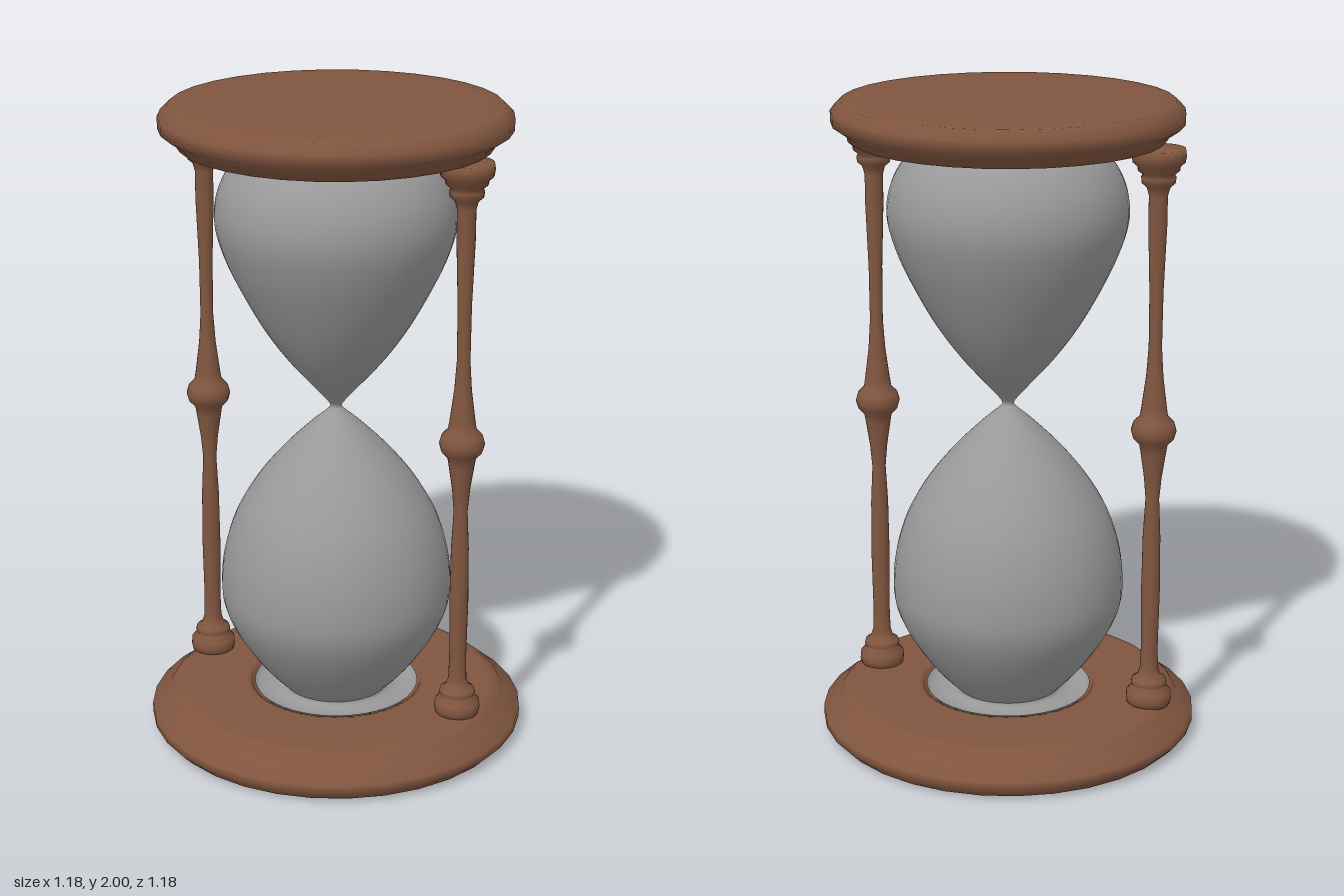
import * as THREE from 'three';

const wood = new THREE.MeshStandardMaterial({ color: 0x80553f });
wood.name = 'brown wood';
const glass = new THREE.MeshStandardMaterial({ color: 0x999999, side: THREE.DoubleSide });
glass.name = 'grey glass';

// Smooth turned part from [radius, height] pairs, listed bottom to top
function turned(name, profile, segments, material) {
  const points = profile.map(([r, y]) => new THREE.Vector2(r, y));
  const mesh = new THREE.Mesh(new THREE.LatheGeometry(points, segments), material);
  mesh.name = name;
  return mesh;
}

// Rounds a coarse profile with a spline
function rounded(profile, count) {
  const curve = new THREE.SplineCurve(profile.map(([r, y]) => new THREE.Vector2(r, y)));
  return curve.getPoints(count).map((p) => [p.x, p.y]);
}

export function createModel() {
  const model = new THREE.Group();
  model.name = 'hourglass';

  // Base plate with a shallow seat for the glass
  model.add(turned('basePlate', [
    [0, 0], [0.5, 0], [0.562, 0.005], [0.588, 0.032], [0.588, 0.06], [0.54, 0.092],
    [0.53, 0.108], [0.505, 0.128], [0.48, 0.13], [0.285, 0.13], [0.27, 0.128],
    [0.262, 0.1], [0.24, 0.097], [0, 0.097],
  ], 32, wood));

  // Top plate with a matching seat underneath
  model.add(turned('topPlate', [
    [0, 1.915], [0.32, 1.915], [0.335, 1.912], [0.342, 1.882], [0.355, 1.88],
    [0.45, 1.88], [0.47, 1.882], [0.485, 1.905], [0.525, 1.932], [0.526, 1.968],
    [0.497, 1.997], [0.43, 2], [0, 2],
  ], 32, wood));

  // Two bulbs joined at a narrow neck
  model.add(turned('glassBulbs', rounded([
    [0.165, 0.125], [0.235, 0.2], [0.305, 0.3], [0.348, 0.39], [0.36, 0.47],
    [0.35, 0.58], [0.313, 0.7], [0.25, 0.81], [0.17, 0.91], [0.08, 1.0],
    [0.028, 1.045], [0.018, 1.06], [0.03, 1.08], [0.07, 1.125], [0.145, 1.21],
    [0.217, 1.31], [0.28, 1.42], [0.332, 1.53], [0.362, 1.63], [0.36, 1.71],
    [0.335, 1.78], [0.29, 1.84], [0.235, 1.866],
  ], 88), 48, glass));

  // Flared glass lips resting in the seats
  model.add(turned('lowerLip', [
    [0.165, 0.125], [0.168, 0.112], [0.2, 0.104], [0.245, 0.108], [0.26, 0.127],
  ], 48, glass));
  model.add(turned('upperLip', [
    [0.33, 1.884], [0.32, 1.9], [0.27, 1.9], [0.225, 1.885], [0.235, 1.866],
  ], 48, glass));

  // Turned posts at opposite corners
  const postProfile = [
    [0, 0.12], [0.066, 0.125], [0.071, 0.145], [0.069, 0.168], [0.05, 0.186],
    [0.056, 0.195], [0.053, 0.208], [0.036, 0.22], [0.028, 0.245], [0.026, 0.32],
    [0.029, 0.5], [0.027, 0.68], [0.021, 0.8], [0.027, 0.87], [0.039, 0.95],
    [0.043, 0.975], [0.062, 0.995], [0.069, 1.02], [0.062, 1.045], [0.043, 1.065],
    [0.039, 1.09], [0.026, 1.19], [0.02, 1.28], [0.021, 1.45], [0.028, 1.65],
    [0.028, 1.74], [0.035, 1.765], [0.05, 1.778], [0.052, 1.795], [0.047, 1.803],
    [0.062, 1.815], [0.064, 1.828], [0.078, 1.84], [0.081, 1.86], [0.078, 1.88], [0, 1.885],
  ];
  [['frontPost', 0.303, 0.318], ['backPost', -0.331, -0.326]].forEach(([name, x, z]) => {
    const post = turned(name, postProfile, 20, wood);
    post.position.set(x, 0, z);
    model.add(post);
  });

  return model;
}
